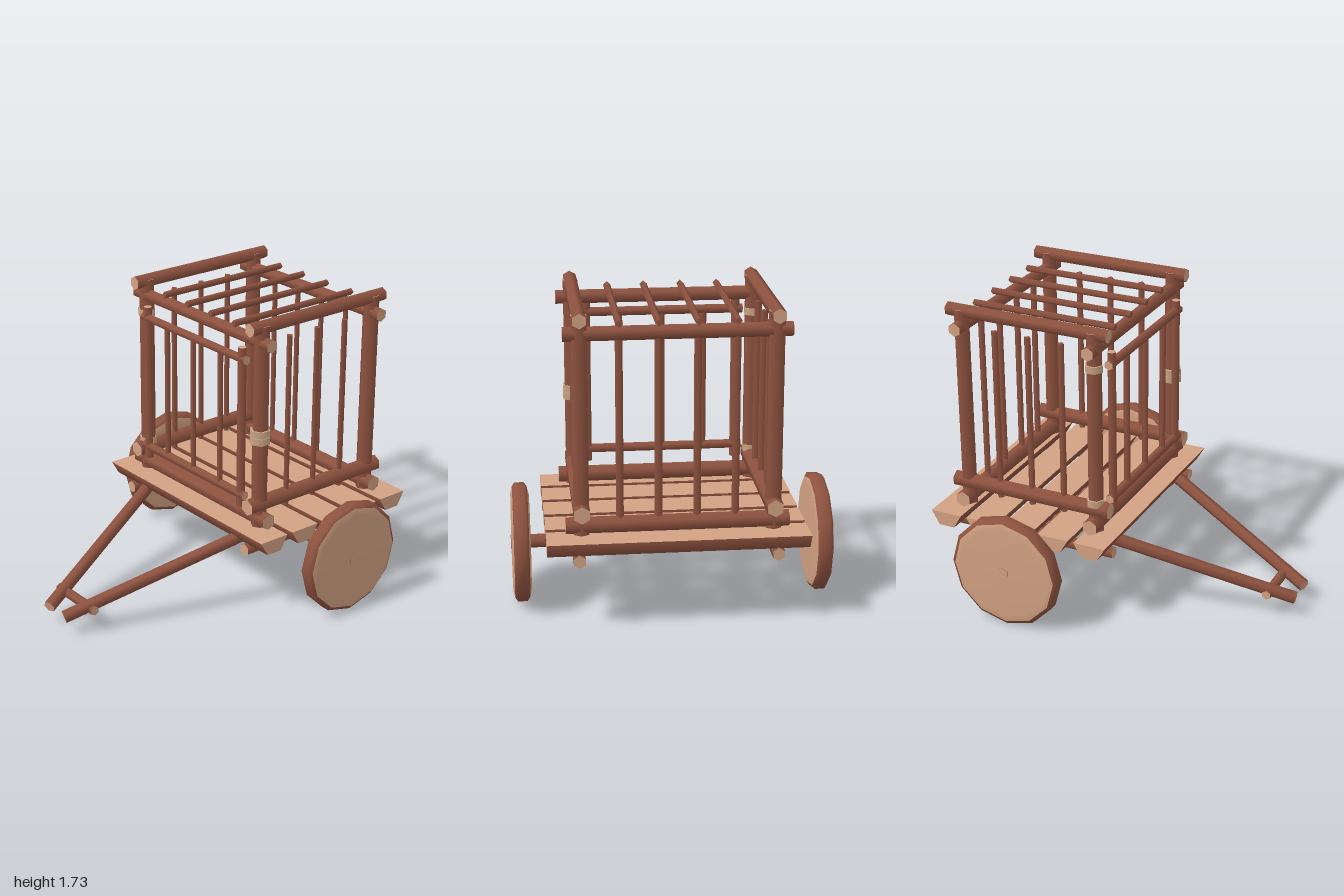
import * as THREE from 'three';

const bark = new THREE.MeshStandardMaterial({ color: 0x8f5340 });
bark.name = 'bark brown';
const wood = new THREE.MeshStandardMaterial({ color: 0xd3a283 });
wood.name = 'cut wood';
const strap = new THREE.MeshStandardMaterial({ color: 0xcaa684 });
strap.name = 'rope strap';

const UP = new THREE.Vector3(0, 1, 0);

export function createModel() {
  const root = new THREE.Group();
  root.name = 'cageCart';

  // Straight log between two points, with its own end colour
  function log(name, a, b, r, sides = 6, end = wood, parent = root) {
    const p = new THREE.Vector3(...a), q = new THREE.Vector3(...b);
    const dir = q.clone().sub(p);
    const geo = new THREE.CylinderGeometry(r, r, dir.length(), sides);
    if (a[1] === b[1] && a[2] === b[2]) geo.rotateY(Math.PI / 2);
    const mesh = new THREE.Mesh(geo, [bark, end, end]);
    mesh.name = name;
    mesh.position.copy(p).add(q).multiplyScalar(0.5);
    mesh.quaternion.setFromUnitVectors(UP, dir.normalize());
    parent.add(mesh);
    return mesh;
  }
  const stick = (name, a, b) => log(name, a, b, 0.02, 4, bark);

  // Deck of split half logs, flat side up
  for (let i = 0; i < 5; i++) {
    const plank = new THREE.Group();
    plank.name = 'plank';
    const geo = new THREE.CylinderGeometry(0.095, 0.095, 1.39, 3, 1, false, 0, Math.PI);
    geo.rotateZ(-Math.PI / 2);
    const half = new THREE.Mesh(geo, [bark, wood, wood]);
    half.name = 'plankBark';
    const top = new THREE.Mesh(new THREE.PlaneGeometry(1.39, 0.19).rotateX(-Math.PI / 2), wood);
    top.name = 'plankTop';
    plank.add(half, top);
    plank.position.set(0, 0.525, -0.002 - 0.2257 * i);
    root.add(plank);
  }

  // Wheels and axle
  const rim = [[0.308, -0.041], [0.33, -0.026], [0.33, 0.026], [0.308, 0.041]];
  const face = [[0.308, 0.041], [0.27, 0.05], [0, 0.053]];
  const lathe = (pts) => new THREE.LatheGeometry(pts.map((p) => new THREE.Vector2(...p)), 12);
  for (const s of [-1, 1]) {
    const wheel = new THREE.Group();
    wheel.name = s > 0 ? 'leftWheel' : 'rightWheel';
    const tread = new THREE.Mesh(lathe(rim), bark);
    tread.name = 'wheelRim';
    wheel.add(tread);
    for (const turn of [0, Math.PI]) {
      const disc = new THREE.Mesh(lathe(face), wood);
      disc.name = 'wheelFace';
      disc.rotation.x = turn;
      wheel.add(disc);
    }
    wheel.rotation.z = -s * Math.PI / 2;
    wheel.position.set(s * 0.822, 0.334, -0.447);
    root.add(wheel);
  }
  log('axle', [-0.877, 0.335, -0.447], [0.877, 0.335, -0.447], 0.04);

  for (const s of [-1, 1]) {
    // Bed beams, pulling shafts, and side rails of the cage
    log('bedBeam', [s * 0.525, 0.415, 0.07], [s * 0.525, 0.415, -0.97], 0.036);
    log('pullShaft', [s * 0.43, 0.45, 0], [s * 0.073, 0.11, 0.985], 0.036);
    log('lowerSideRail', [s * 0.508, 0.66, 0.04], [s * 0.508, 0.66, -0.935], 0.048);
    log('upperSideRail', [s * 0.508, 1.698, 0.04], [s * 0.508, 1.698, -0.935], 0.04);
    for (const z of [-0.047, -0.852]) log('cornerPost', [s * 0.508, 0.53, z], [s * 0.508, 1.71, z], 0.046);
    for (const z of [-0.246, -0.447, -0.65]) stick('sideBar', [s * 0.508, 0.6, z], [s * 0.508, 1.61, z]);
    // Door stile
    log('doorStile', [s * 0.42, 0.635, 0.014], [s * 0.42, 1.575, 0.014], 0.025);
  }
  log('shaftCrossbar', [-0.172, 0.143, 0.845], [0.172, 0.143, 0.845], 0.028);

  // Front and back rails
  for (const z of [-0.047, -0.852]) {
    log('lowerCrossRail', [-0.592, 0.576, z], [0.592, 0.576, z], 0.047);
    log('upperCrossRail', [-0.592, 1.612, z], [0.592, 1.612, z], 0.039);
  }

  // Back wall and roof bars
  for (const x of [-0.305, -0.102, 0.102, 0.305]) {
    stick('backBar', [x, 0.6, -0.852], [x, 1.61, -0.852]);
    stick('roofBar', [x, 1.668, -0.89], [x, 1.668, -0.02]);
  }

  // Door rails and bars
  for (const y of [0.705, 1.508]) log('doorRail', [-0.46, y, 0.014], [0.46, y, 0.014], 0.026);
  for (const x of [-0.237, 0, 0.237]) stick('doorBar', [x, 0.7, 0.014], [x, 1.5, 0.014]);

  // Straps: two hinges on one front post, a double latch on the other
  function band(name, x, y, r, h) {
    const mesh = new THREE.Mesh(new THREE.CylinderGeometry(r, r, h, 6), strap);
    mesh.name = name;
    mesh.position.set(x, y, -0.047);
    root.add(mesh);
  }
  for (const y of [0.705, 1.508]) band('hingeStrap', -0.512, y, 0.053, 0.04);
  for (const y of [1.048, 1.09]) band('latchStrap', 0.506, y, 0.059, 0.039);

  return root;
}
